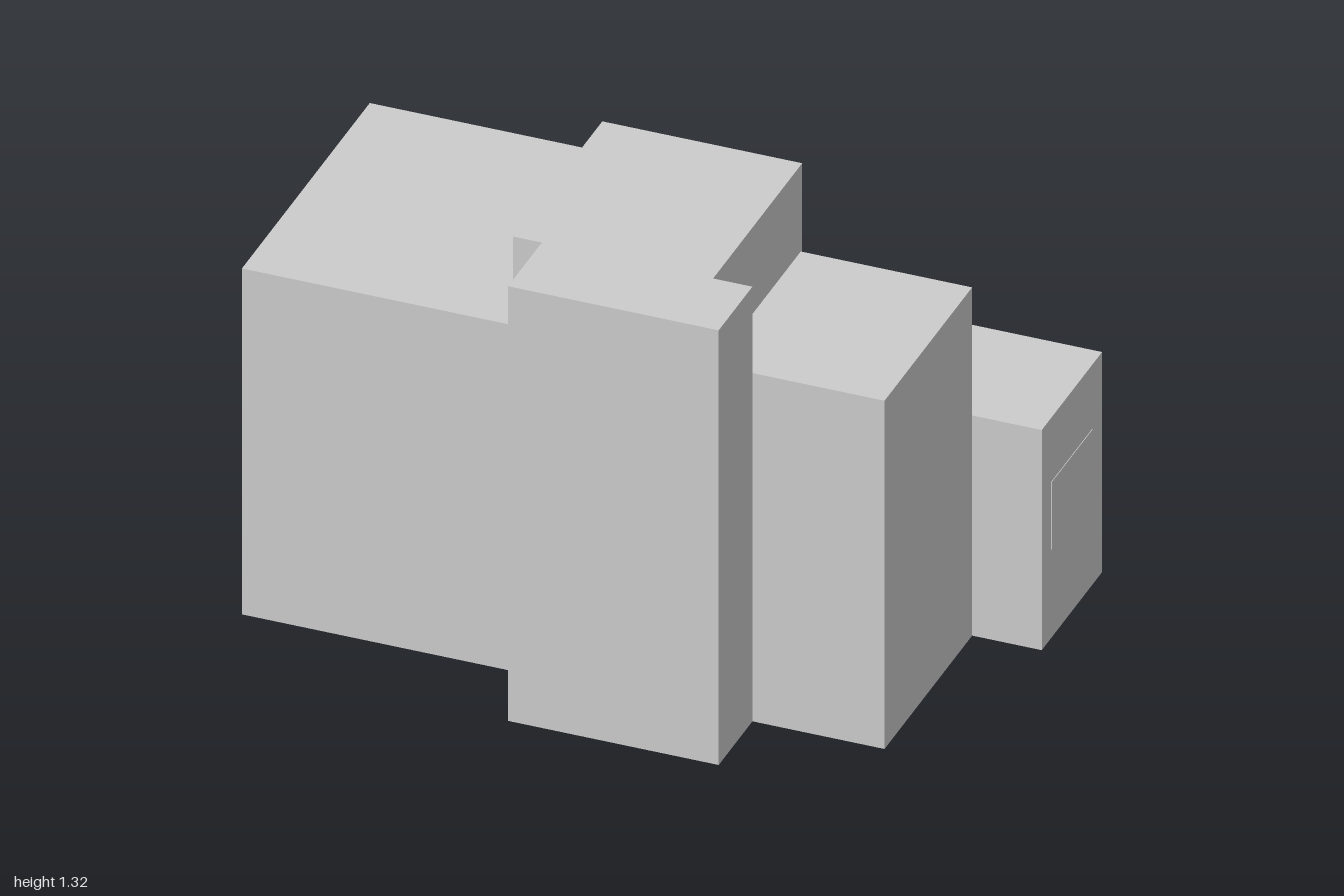
import * as THREE from 'three';

const FLOOR = 0.012; // top of the ground slab
const WALL = 0.01;   // wall and roof thickness of the hollow wing

export function createModel() {
  const model = new THREE.Group();
  const material = new THREE.MeshStandardMaterial({ color: 0xcccccc, flatShading: true });

  function add(name, geometry, parent = model) {
    const mesh = new THREE.Mesh(geometry, material);
    mesh.name = name;
    parent.add(mesh);
    return mesh;
  }

  // Box given by its limits on each axis
  function block(name, [x0, x1], [y0, y1], [z0, z1], parent) {
    const geometry = new THREE.BoxGeometry(x1 - x0, y1 - y0, z1 - z0);
    geometry.translate((x0 + x1) / 2, (y0 + y1) / 2, (z0 + z1) / 2);
    return add(name, geometry, parent);
  }

  // Upright prism over a floor plan of [x, z] corners
  function prism(name, plan, y0, y1, parent) {
    const shape = new THREE.Shape(plan.map(([x, z]) => new THREE.Vector2(x, -z)));
    const geometry = new THREE.ExtrudeGeometry(shape, { depth: y1 - y0, bevelEnabled: false });
    geometry.rotateX(-Math.PI / 2).translate(0, y0, 0);
    return add(name, geometry, parent);
  }

  // Ground slab under the whole building
  prism('groundSlab', [
    [-1, 0.52], [-0.16, 0.52], [-0.16, 0.755], [0.43, 0.755], [0.43, 0.52], [0.8, 0.52],
    [0.8, -0.09], [0.995, -0.09], [0.995, -0.51], [0.49, -0.51], [0.49, -0.755],
    [0.1, -0.755], [0.1, -0.51], [-1, -0.51],
  ], 0, FLOOR);

  // Tall blocks
  block('rightBlock', [-1, -0.24], [FLOOR, 1.053], [-0.37, 0.52]);
  prism('tower', [
    [-0.24, 0.52], [-0.16, 0.52], [-0.16, 0.755], [0.43, 0.755], [0.43, 0.52],
    [0.32, 0.52], [0.32, -0.1], [-0.24, -0.1],
  ], FLOOR, 1.323);
  block('leftBlock', [0.32, 0.8], [FLOOR, 1.06], [-0.09, 0.52]);

  // Annex with a flush window in its side
  block('annex', [0.305, 0.995], [FLOOR, 0.67], [-0.51, -0.09]);
  block('annexWindow', [0.99, 0.997], [0.27, 0.475], [-0.44, -0.155]);

  // Low hollow wing, entered through the open end of the porch
  const wing = new THREE.Group();
  wing.name = 'entranceWing';
  model.add(wing);
  const height = [FLOOR, 0.45 - WALL];
  block('sideWall', [-0.415, -0.415 + WALL], height, [-0.51, -0.1], wing);
  block('backWall', [-0.415 + WALL, 0.1], height, [-0.51, -0.51 + WALL], wing);
  block('porchRightWall', [0.1, 0.1 + WALL], height, [-0.755, -0.5], wing);
  block('porchLeftWall', [0.49 - WALL, 0.49], height, [-0.755, -0.51], wing);
  prism('wingRoof', [
    [-0.415, -0.1], [0.305, -0.1], [0.305, -0.51], [0.49, -0.51],
    [0.49, -0.755], [0.1, -0.755], [0.1, -0.51], [-0.415, -0.51],
  ], 0.45 - WALL, 0.45, wing);

  return model;
}
